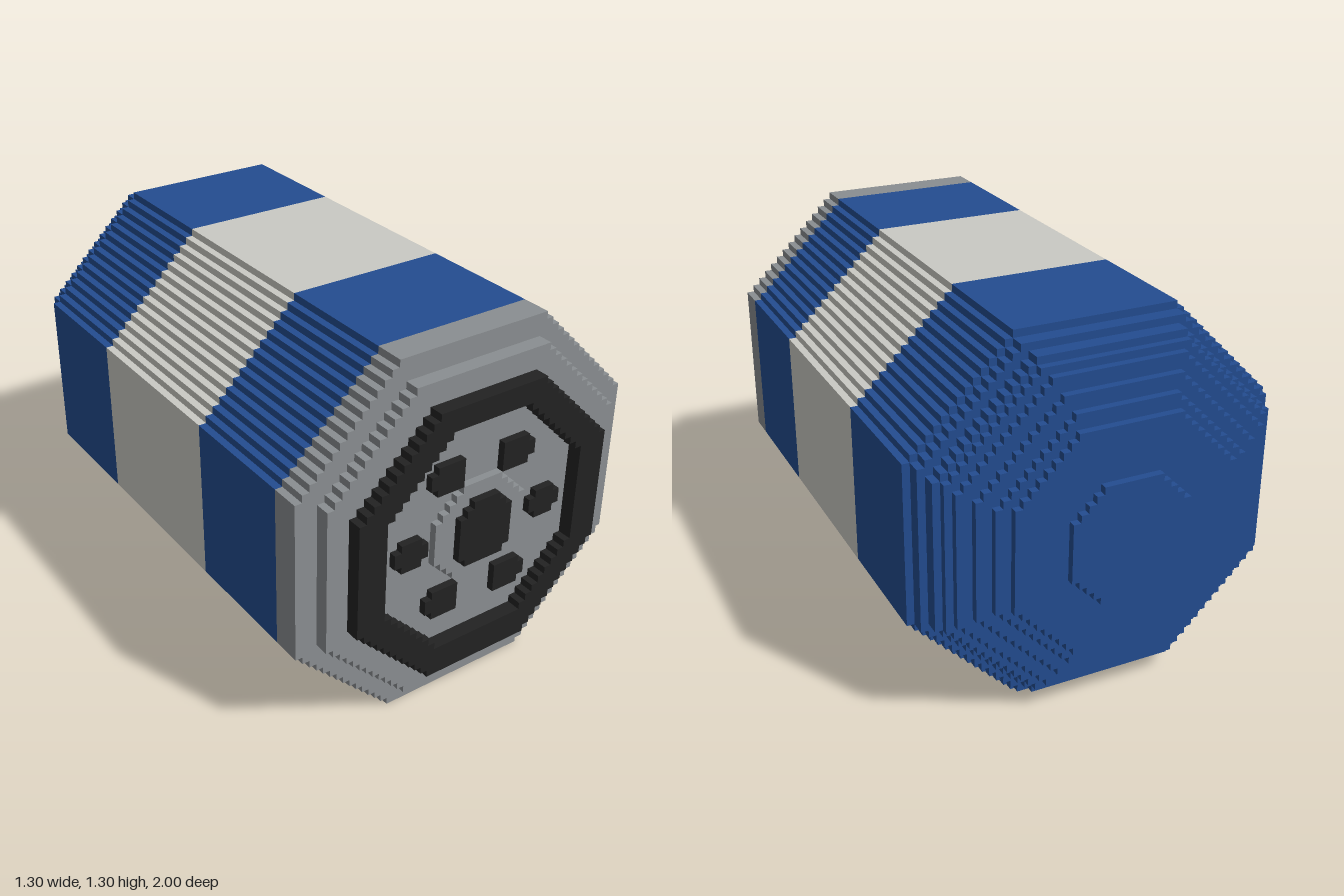
import * as THREE from 'three';

const V = 2 / 77; // size of one block; all dimensions below are in blocks

const blue = new THREE.MeshStandardMaterial({ color: 0x234c90 });
blue.name = 'blue paint';
const white = new THREE.MeshStandardMaterial({ color: 0xcacac4 });
white.name = 'off-white band';
const grey = new THREE.MeshStandardMaterial({ color: 0x8a8e91 });
grey.name = 'grey metal';
const black = new THREE.MeshStandardMaterial({ color: 0x222222 });
black.name = 'black rubber';

// Stepped outline from rows of [left, right] spans, starting at height y0
function outline(y0, spans) {
  const right = [], left = [];
  spans.forEach(([l, r], i) => {
    const y = y0 + i;
    for (const [side, x] of [[right, r], [left, l]]) {
      const n = side.length;
      if (n && side[n - 1].x === x) side[n - 1].y = y + 1;
      else side.push(new THREE.Vector2(x, y), new THREE.Vector2(x, y + 1));
    }
  });
  return [...right, ...left.reverse()];
}

// Octagon with stepped diagonals; d is the limit of |x| + |y|
function octagon(r, d = Math.round(1.44 * r), y0 = -r, y1 = r) {
  const spans = [];
  for (let y = y0; y < y1; y++) {
    const half = Math.min(r, d - Math.max(Math.abs(y), Math.abs(y + 1)));
    spans.push([-half, half]);
  }
  return outline(y0, spans);
}

// Slab of blocks between two z levels
function slab(name, points, z0, z1, material, hole) {
  const shape = new THREE.Shape(points);
  if (hole) shape.holes.push(new THREE.Path(hole));
  const geometry = new THREE.ExtrudeGeometry(shape, { depth: z1 - z0, bevelEnabled: false });
  geometry.translate(0, 25, z0);
  geometry.scale(V, V, V);
  const mesh = new THREE.Mesh(geometry, material);
  mesh.name = name;
  return mesh;
}

export function createModel() {
  const model = new THREE.Group();
  model.name = 'canister';

  // Body bands, back to front
  const body = octagon(25);
  model.add(
    slab('rearBand', body, -28.5, -11.5, blue),
    slab('middleBand', body, -11.5, 13.5, white),
    slab('frontBand', body, 13.5, 30.5, blue),
    slab('frontCollar', body, 30.5, 34.5, grey),
    slab('frontPlate', octagon(22), 34.5, 36.5, grey)
  );

  // Stepped dome at the back: [radius, thickness]
  const dome = new THREE.Group();
  dome.name = 'rearDome';
  let z = -28.5;
  for (const [r, t] of [[24, 2], [23, 2], [22, 1], [21, 1], [19, 1], [17, 1], [15, 1], [8, 1]]) {
    dome.add(slab('domeStep', octagon(r), z - t, z, blue));
    z -= t;
  }
  model.add(dome);

  // Front ring and hub
  model.add(
    slab('frontRing', octagon(19), 36.5, 38.5, black, octagon(15, 22, -15, 16)),
    slab('hub', octagon(7, 10, -6, 7), 36.5, 37.5, grey),
    slab('hubCap', octagon(4, 7, -4, 5), 37.5, 38.5, black)
  );

  // Six studs around the hub
  const studs = new THREE.Group();
  studs.name = 'studs';
  for (const s of [-1, 1]) {
    const span = (a, b) => (s > 0 ? [a, b] : [-b, -a]);
    const sideStud = [span(9, 12), span(8, 13), span(8, 13), span(9, 12)];
    const cornerStud = [span(3, 7), span(3, 8), span(3, 8), span(3, 7)];
    studs.add(slab('stud', outline(-2, sideStud), 36.5, 37.5, black));
    for (const y of [7, -11]) studs.add(slab('stud', outline(y, cornerStud), 36.5, 37.5, black));
  }
  model.add(studs);

  return model;
}
